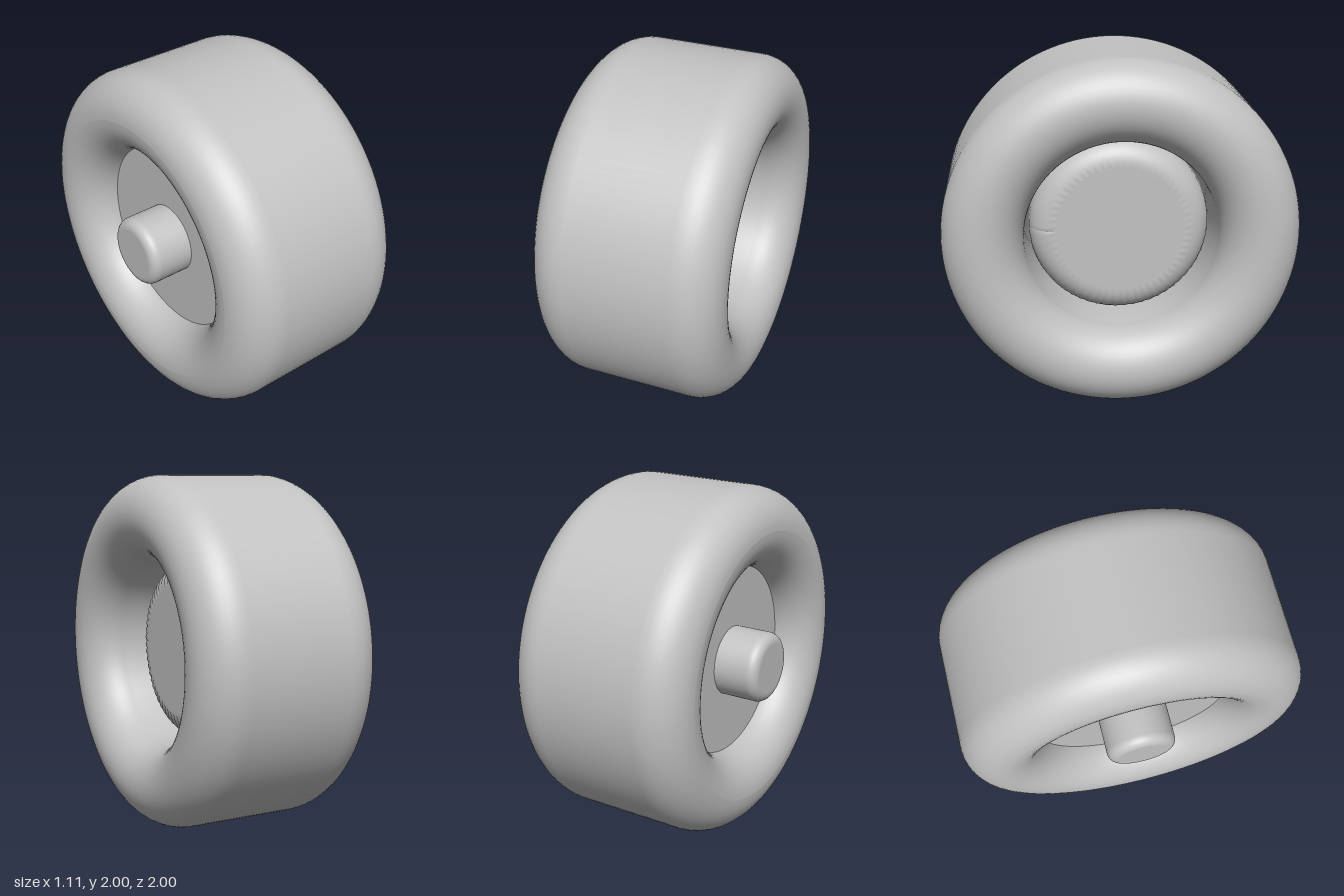
import * as THREE from 'three';

const SEG = 120;

// Points of a circular arc, as [axial, radius] pairs; angle 0 points along the axle (+x)
function arc(x, r, rad, from, to, n = 12) {
  const pts = [];
  for (let i = 0; i <= n; i++) {
    const a = from + (to - from) * i / n;
    pts.push([x + rad * Math.cos(a), r + rad * Math.sin(a)]);
  }
  return pts;
}

// Surface of revolution about the axle
function turned(name, profile, material) {
  const pts = profile.map(([x, r]) => new THREE.Vector2(Math.max(r, 0), x));
  const geo = new THREE.LatheGeometry(pts, SEG);
  geo.rotateZ(-Math.PI / 2);
  const mesh = new THREE.Mesh(geo, material);
  mesh.name = name;
  return mesh;
}

export function createModel() {
  const grey = new THREE.MeshStandardMaterial({ color: 0xc2c2c2 });
  grey.name = 'light grey';
  const wheel = new THREE.Group();
  wheel.name = 'wheel';
  const H = Math.PI / 2;

  // Tyre: flat tread, fully rounded side walls
  wheel.add(turned('tyre', [
    ...arc(-0.29, 0.772, 0.228, 2 * H, H),
    [-0.28, 1], [0.31, 1],
    ...arc(0.325, 0.772, 0.228, H, -H, 24),
  ], grey));
  wheel.add(turned('tyreInnerWall', arc(-0.29, 0.772, 0.228, 3 * H, 2 * H), grey));

  // Slightly tapered bore
  wheel.add(turned('tyreBore', [[0.325, 0.544], [0.09, 0.516], [-0.29, 0.544]], grey));

  // Domed hub cap with finely fluted shoulder
  const cap = turned('hubCap', [
    [0.06, 0.52], ...arc(0.11, 0.375, 0.14, H, 0, 10), [0.25, 0.36], [0.25, 0],
  ], grey);
  const pos = cap.geometry.attributes.position;
  for (let i = 0; i < pos.count; i++) {
    const x = pos.getX(i), y = pos.getY(i), z = pos.getZ(i);
    const r = Math.hypot(y, z);
    if (r < 0.39 || r > 0.512) continue;
    const column = Math.floor(i / 14) % SEG;
    pos.setX(i, x + (column % 2 ? 0.004 : -0.004));
  }
  cap.geometry.computeVertexNormals();
  wheel.add(cap);

  // Flat back plate of the hub
  wheel.add(turned('hubBack', [[-0.305, 0], [-0.305, 0.546]], grey));

  // Axle stub with rounded end
  wheel.add(turned('axleStub', [
    [-0.56, 0], [-0.56, 0.14], ...arc(-0.505, 0.145, 0.055, 2 * H, H, 8), [-0.5, 0.2], [-0.29, 0.2],
  ], grey));

  wheel.position.y = 1;
  const model = new THREE.Group();
  model.name = 'model';
  model.add(wheel);
  return model;
}
